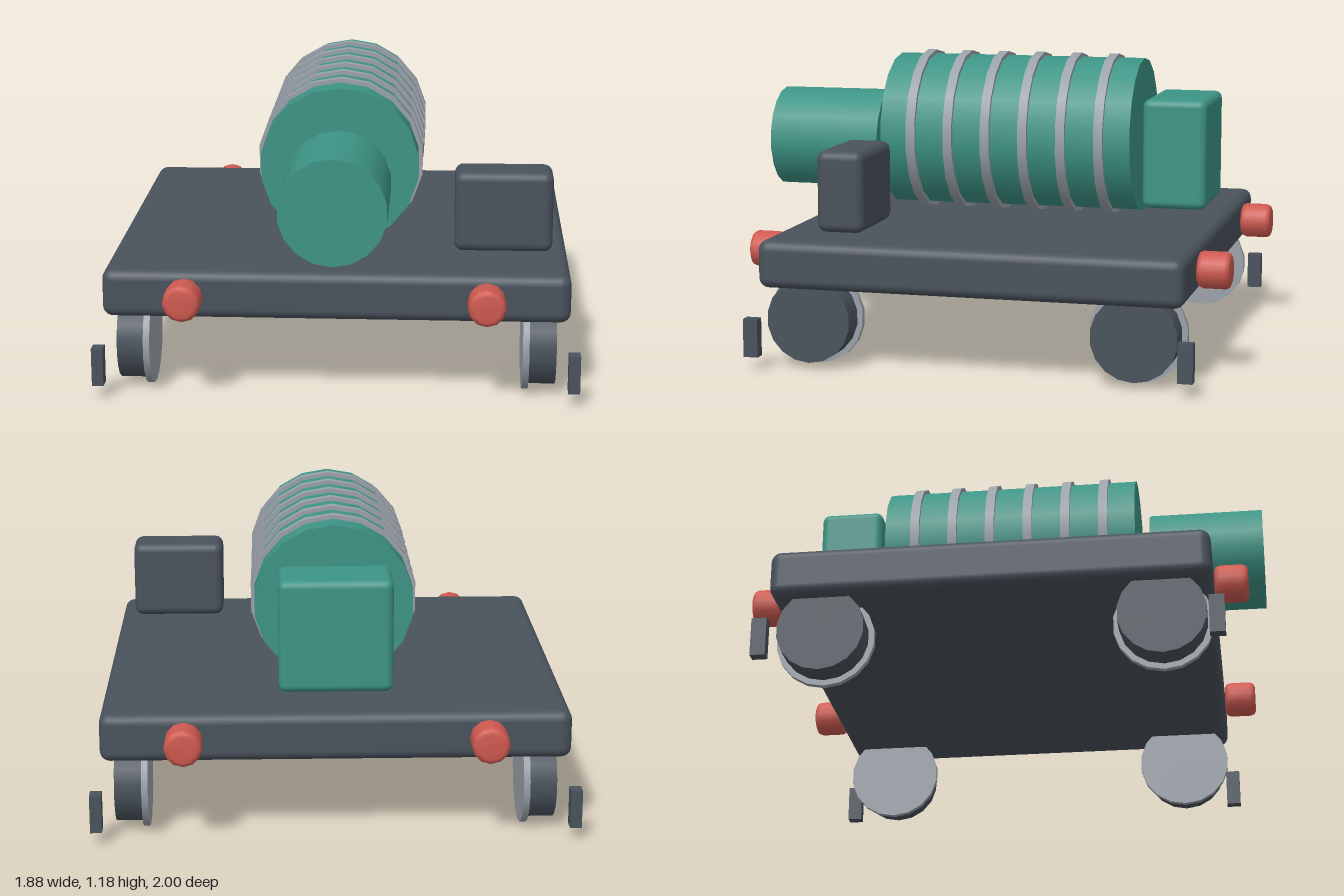
import * as THREE from 'three';
import { RoundedBoxGeometry } from 'three/addons/geometries/RoundedBoxGeometry.js';

const SIDES = 18;

function material(name, color) {
  const m = new THREE.MeshStandardMaterial({ color });
  m.name = name;
  return m;
}

export function createModel() {
  const model = new THREE.Group();
  model.name = 'railWagon';
  const teal = material('teal', 0x3d9485);
  const slate = material('slate', 0x49525c);
  const steel = material('steel', 0x9aa1a9);
  const red = material('red', 0xcf5a50);

  function add(name, geometry, mat, x, y, z, parent = model) {
    const mesh = new THREE.Mesh(geometry, mat);
    mesh.name = name;
    mesh.position.set(x, y, z);
    parent.add(mesh);
    return mesh;
  }
  // Cylinders lying along z or x, with a corner at the top
  const alongZ = (r, length) => new THREE.CylinderGeometry(r, r, length, SIDES).rotateX(Math.PI / 2);
  const alongX = (r, length) => alongZ(r, length).rotateY(Math.PI / 2);

  // Deck
  add('deck', new RoundedBoxGeometry(1.8, 0.188, 1.67, 3, 0.04), slate, 0, 0.411, -0.034);

  // Main tank with its bands, front barrel and rear housing
  add('tank', alongZ(0.312, 1.03), teal, 0, 0.85, -0.03);
  const band = alongZ(0.328, 0.037);
  for (let i = 0; i < 6; i++) add('tankBand', band, steel, 0, 0.85, 0.355 - i * 0.155);
  add('frontBarrel', alongZ(0.206, 0.463), teal, 0, 0.8, 0.7685);
  add('rearHousing', new RoundedBoxGeometry(0.434, 0.438, 0.256, 3, 0.03), teal, 0, 0.797, -0.706);

  // Equipment box on the deck
  add('equipmentBox', new RoundedBoxGeometry(0.382, 0.318, 0.188, 3, 0.035), slate, 0.643, 0.694, 0.484);

  // Shared corner geometries
  const tread = alongX(0.168, 0.107);
  const flange = alongX(0.19, 0.025);
  const block = new THREE.BoxGeometry(0.045, 0.15, 0.058);
  // Round buffer with softened rims
  const r = 0.073, h = 0.065, b = 0.022;
  const profile = [[0, -h], [r - b, -h], [r - b * 0.3, -h + b * 0.3], [r, -h + b],
    [r, h - b], [r - b * 0.3, h - b * 0.3], [r - b, h], [0, h]];
  const buffer = new THREE.LatheGeometry(profile.map(p => new THREE.Vector2(...p)), 12).rotateX(Math.PI / 2);

  for (const side of [1, -1]) {
    for (const front of [true, false]) {
      // Flanged wheel
      const wheel = new THREE.Group();
      wheel.name = 'wheel';
      wheel.position.set(0, 0.19, front ? 0.61 : -0.674);
      model.add(wheel);
      add('wheelTread', tread, slate, side * 0.7965, 0, 0, wheel);
      add('wheelFlange', flange, steel, side * 0.7325, 0, 0, wheel);
      // Axle block outside the wheel, and end buffer
      add('axleBlock', block, slate, side * 0.917, 0.128, front ? 0.815 : -0.885);
      add('buffer', buffer, red, side * 0.578, 0.414, front ? 0.868 : -0.935);
    }
  }
  return model;
}
